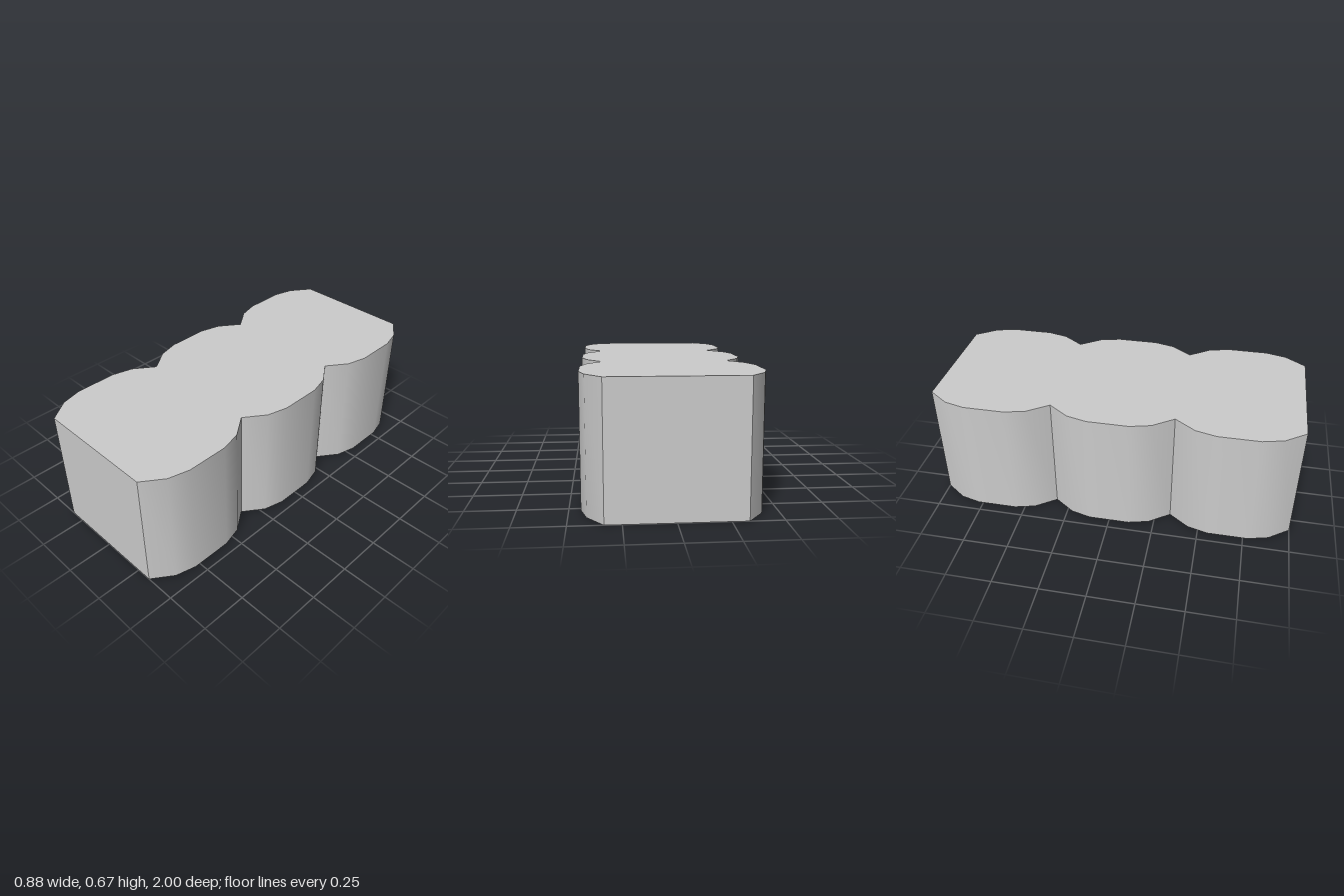
import * as THREE from 'three';
import { toCreasedNormals } from 'three/addons/utils/BufferGeometryUtils.js';

const HEIGHT = 0.67;
const LOBES = 3;
const LOBE_LENGTH = 2 / LOBES;

// Half of one lobe's outline: [distance along the lobe (0..1), half width]
const LOBE = [[0, 0.333], [1 / 6, 0.413], [1 / 3, 0.442], [2 / 3, 0.442], [5 / 6, 0.413]];

export function createModel() {
  const group = new THREE.Group();
  group.name = 'scallopedBlock';

  // One side of the outline: a chain of equal lobes
  const side = [];
  for (let i = 0; i < LOBES; i++) {
    for (const [t, x] of LOBE) side.push(new THREE.Vector2(x, -1 + (i + t) * LOBE_LENGTH));
  }
  side.push(new THREE.Vector2(LOBE[0][1], 1));

  // Mirror it for the other side and close with flat ends
  const mirrored = side.map((p) => new THREE.Vector2(-p.x, p.y)).reverse();
  const outline = new THREE.Shape([...side, ...mirrored]);

  const extruded = new THREE.ExtrudeGeometry(outline, { depth: HEIGHT, bevelEnabled: false });
  extruded.rotateX(-Math.PI / 2);

  // Smooth lobes, sharp grooves and rims
  const geometry = toCreasedNormals(extruded, THREE.MathUtils.degToRad(40));
  const body = new THREE.Mesh(geometry, new THREE.MeshStandardMaterial({ color: 0xcccccc }));
  body.name = 'body';
  group.add(body);
  return group;
}
